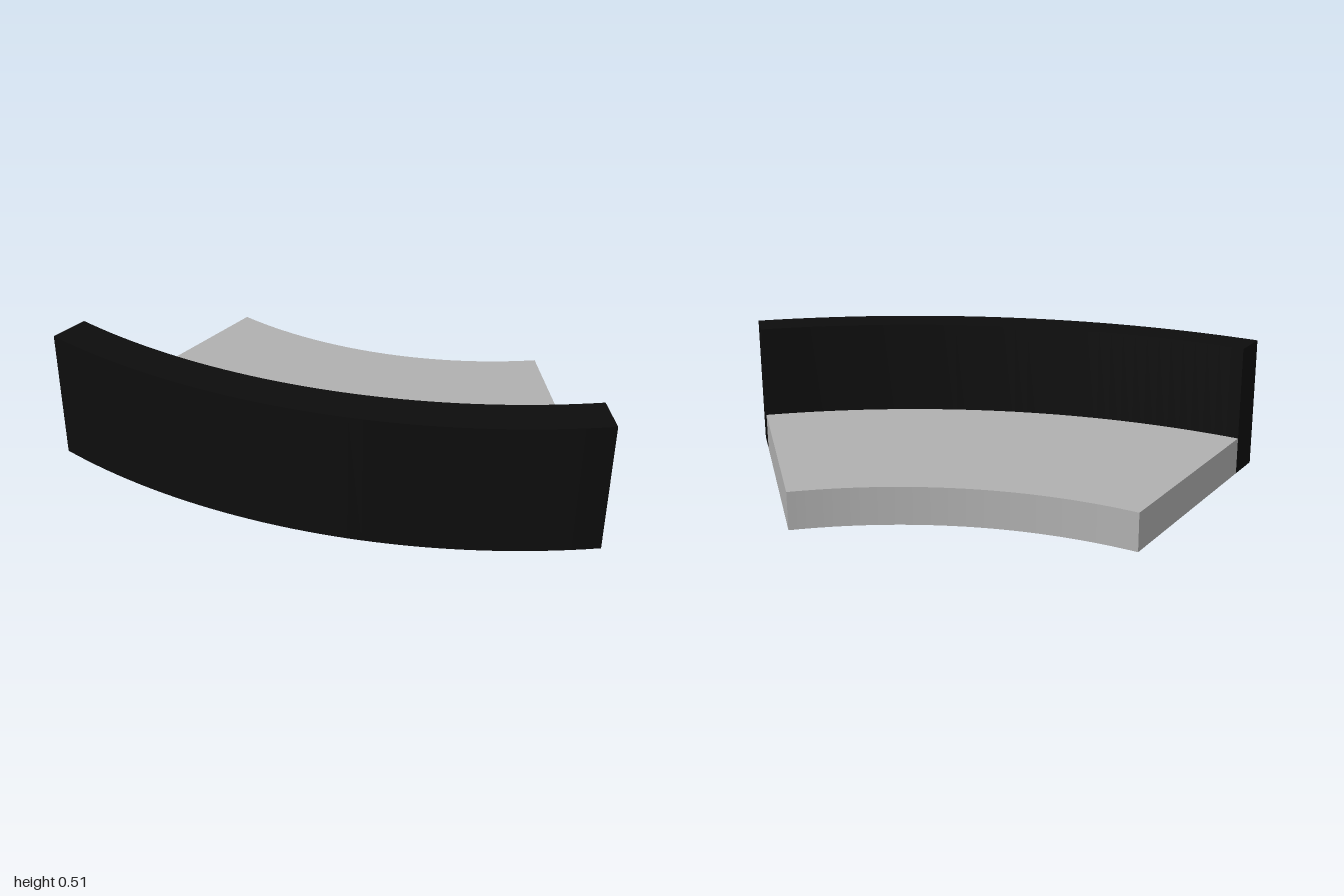
import * as THREE from 'three';

// Common centre of all arcs (x, z) and the angular range of the segment
const CENTRE_X = 0.5, CENTRE_Z = -1.969;
const START = THREE.MathUtils.degToRad(79.02);
const END = THREE.MathUtils.degToRad(124.85);

// Upright slab standing on y = 0 whose plan is a sector of a ring
function ringSector(name, inner, outer, height, material) {
  const shape = new THREE.Shape();
  shape.absarc(CENTRE_X, CENTRE_Z, outer, START, END, false);
  shape.absarc(CENTRE_X, CENTRE_Z, inner, END, START, true);
  shape.closePath();
  const geometry = new THREE.ExtrudeGeometry(shape, {
    depth: height, bevelEnabled: false, curveSegments: 20,
  });
  // Lay the plan flat: shape y becomes z, depth runs downwards
  geometry.rotateX(Math.PI / 2).translate(0, height, 0);
  const mesh = new THREE.Mesh(geometry, material);
  mesh.name = name;
  return mesh;
}

export function createModel() {
  const grey = new THREE.MeshStandardMaterial({ color: 0xb0b0b0 });
  grey.name = 'light grey';
  const black = new THREE.MeshStandardMaterial({ color: 0x0d0d0d });
  black.name = 'black';

  const model = new THREE.Group();
  model.name = 'curvedPlatform';
  model.add(
    ringSector('floorSlab', 1.6, 2.478, 0.147, grey),
    ringSector('curvedWall', 2.478, 2.624, 0.513, black),
  );
  return model;
}
